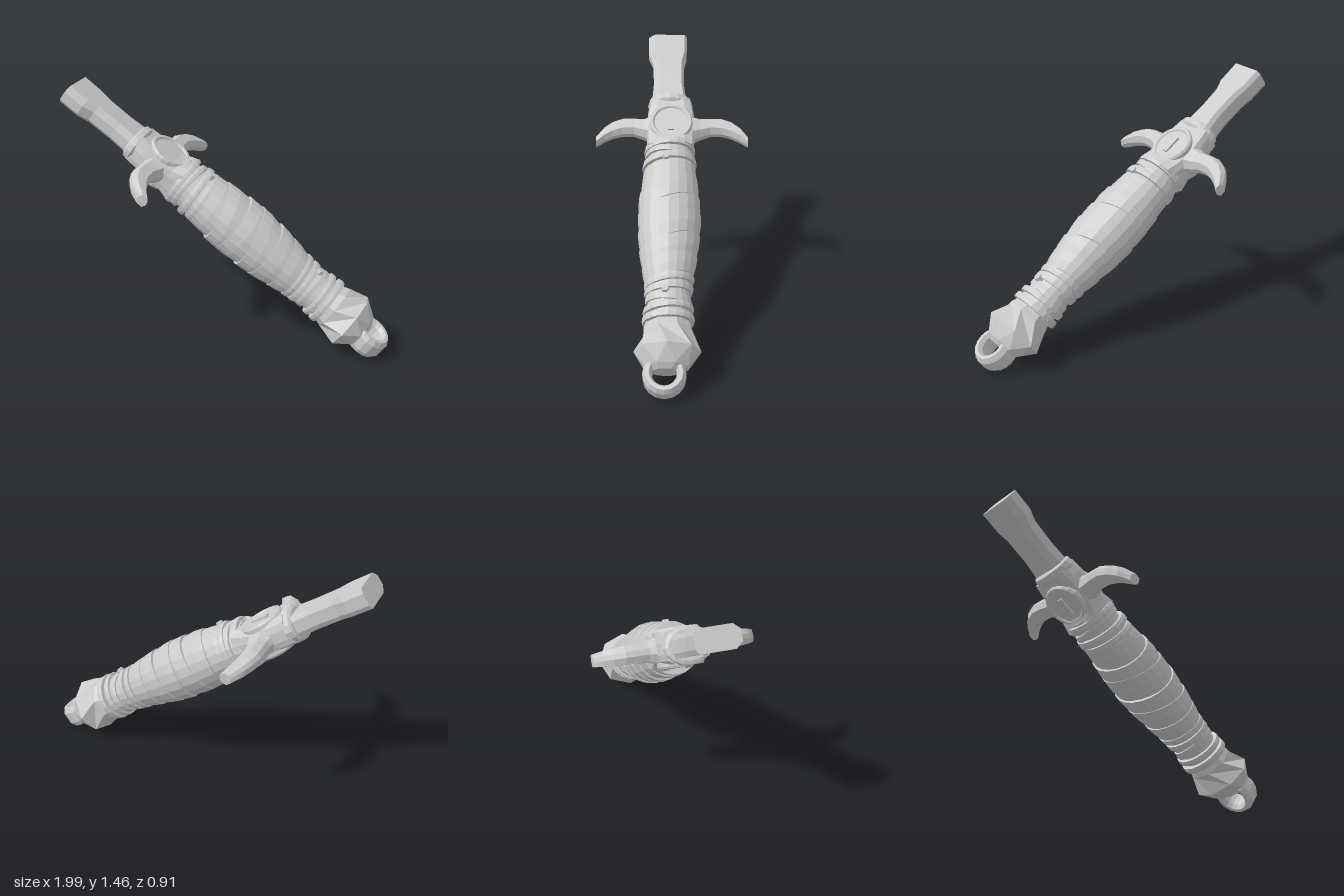
import * as THREE from 'three';

const mat = new THREE.MeshStandardMaterial({ color: 0xcccccc, flatShading: true });

// Skin closed cross-sections (counter-clockwise about the travel direction), optionally capped.
function loft(sections, caps = true) {
  const pos = [];
  const tri = (a, b, c) => pos.push(...a, ...b, ...c);
  const n = sections[0].length;
  for (let i = 0; i < sections.length - 1; i++) {
    for (let j = 0; j < n; j++) {
      const k = (j + 1) % n, s = sections[i], t = sections[i + 1];
      tri(s[j], s[k], t[j]);
      tri(s[k], t[k], t[j]);
    }
  }
  if (caps) {
    const first = sections[0], last = sections[sections.length - 1];
    for (let j = 1; j < n - 1; j++) {
      tri(first[0], first[j + 1], first[j]);
      tri(last[0], last[j], last[j + 1]);
    }
  }
  const g = new THREE.BufferGeometry();
  g.setAttribute('position', new THREE.Float32BufferAttribute(pos, 3));
  g.computeVertexNormals();
  return g;
}

// Oval section across the long (x) axis.
function oval(x, ry, rz, cz = 0, sides = 16, turn = 0) {
  return Array.from({ length: sides }, (_, i) => {
    const a = (i + turn) / sides * Math.PI * 2;
    return [x, ry * Math.cos(a), cz + rz * Math.sin(a)];
  });
}

// Grip radius along its length.
const gripProfile = [[0.8, 0.125], [0.92, 0.135], [1.02, 0.145], [1.2, 0.166], [1.36, 0.164],
  [1.52, 0.15], [1.66, 0.132], [1.76, 0.118], [1.96, 0.118]];
function gripRadius(x) {
  for (let i = 1; i < gripProfile.length; i++) {
    const [x0, r0] = gripProfile[i - 1], [x1, r1] = gripProfile[i];
    if (x <= x1) return THREE.MathUtils.mapLinear(Math.max(x, x0), x0, x1, r0, r1);
  }
  return 0.118;
}

// Slanted strap around the grip; lift is the height of its two edges.
function strap(x, width, lift0, lift1, tilt, phase) {
  const row = (f, lift) => Array.from({ length: 20 }, (_, i) => {
    const a = i / 20 * Math.PI * 2;
    const u = x + f * width / 2 + tilt * Math.cos(a - phase);
    const r = gripRadius(u) + lift;
    return [u, r * Math.cos(a), 0.012 + r * Math.sin(a)];
  });
  return loft([row(-1, -0.012), row(-0.94, lift0), row(0, (lift0 + lift1) / 2 + 0.003),
    row(0.94, lift1), row(1, -0.012)], false);
}

export function createModel() {
  const model = new THREE.Group();
  model.name = 'dagger';
  // The x axis of this group runs from the blade end to the pommel ring.
  const body = new THREE.Group();
  body.name = 'slantedDagger';
  body.rotation.z = -0.614;
  body.position.set(-0.965, 1.4, 0);
  model.add(body);
  const add = (name, geometry, x = 0, y = 0, z = 0, parent = body) => {
    const m = new THREE.Mesh(geometry, mat);
    m.name = name;
    m.position.set(x, y, z);
    parent.add(m);
    return m;
  };

  // Blade stub: bevelled bar with a waist behind the broad end
  const bladeSection = (x, zp, zn) => [
    [x, 0.063, zn + 0.015], [x, 0.063, zp - 0.038], [x, 0.03, zp], [x, -0.03, zp],
    [x, -0.063, zp - 0.038], [x, -0.063, zn + 0.015], [x, -0.035, zn], [x, 0.035, zn]];
  add('blade', loft([[0, 0.152, -0.09], [0.13, 0.15, -0.088], [0.2, 0.122, -0.072],
    [0.36, 0.115, -0.07], [0.5, 0.125, -0.088]].map(s => bladeSection(...s))));

  // Collar where the blade enters the guard
  add('collar', loft([[0.465, 0.085, 0.115], [0.475, 0.105, 0.13], [0.51, 0.108, 0.138],
    [0.525, 0.092, 0.128]].map(([x, a, b]) => oval(x, a, b, 0.012))));

  // Guard block with rounded-rectangle sections
  const guardSection = (x, h, w) => [[1, 0.6], [0.75, 0.92], [0.35, 1], [-0.35, 1], [-0.75, 0.92],
    [-1, 0.6], [-1, -0.6], [-0.75, -0.92], [-0.35, -1], [0.35, -1], [0.75, -0.92], [1, -0.6]]
    .map(([a, b]) => [x, a * h, 0.008 + b * w]);
  add('guardBlock', loft([[0.5, 0.09, 0.125], [0.57, 0.088, 0.138], [0.68, 0.088, 0.148],
    [0.77, 0.1, 0.142], [0.84, 0.13, 0.14]].map(s => guardSection(...s))));

  // Curved guard arms: [z, centre x, half width, half thickness]
  const armPath = [[0.12, 0.68, 0.085, 0.07], [0.17, 0.675, 0.066, 0.058], [0.23, 0.662, 0.056, 0.052],
    [0.3, 0.662, 0.056, 0.05], [0.36, 0.682, 0.054, 0.046], [0.41, 0.715, 0.047, 0.042],
    [0.457, 0.765, 0.03, 0.034]];
  for (const side of [1, -1]) {
    const sections = armPath.map(([z, x, w, h]) => {
      const s = [[1, 0.3], [0.55, 1], [-0.55, 1], [-1, 0.3], [-1, -0.3], [-0.55, -1], [0.55, -1], [1, -0.3]]
        .map(([a, b]) => [x + a * w, b * h, side * z]);
      return side > 0 ? s : s.reverse();
    });
    add(side > 0 ? 'leftGuardArm' : 'rightGuardArm', loft(sections));
  }

  // Round medallion on both faces of the guard, with a recessed centre and a raised bar
  const rim = [[0.13, 0.05], [0.13, 0.094], [0.122, 0.106], [0.108, 0.106], [0.1, 0.096], [0, 0.096]]
    .map(p => new THREE.Vector2(...p));
  for (const face of [0, 1]) {
    const medallion = new THREE.Group();
    medallion.name = face ? 'lowerMedallion' : 'upperMedallion';
    medallion.position.set(0.68, 0, 0.006);
    medallion.rotation.x = face * Math.PI;
    body.add(medallion);
    add('medallionRim', new THREE.LatheGeometry(rim, 20), 0, 0, 0, medallion);
    add('medallionBar', new THREE.BoxGeometry(0.11, 0.016, 0.034), 0.005, 0.1, 0, medallion);
  }

  // Grip core
  add('gripCore', loft(gripProfile.map(([x, r]) => oval(x, r, r, 0.012, 20))));

  // Cord rings at both ends of the grip: [x, width, lift, tilt]
  [[0.835, 0.045, 0.022, 0.008], [0.885, 0.04, 0.014, -0.012], [0.935, 0.045, 0.022, 0.015],
    [0.99, 0.05, 0.012, 0.02], [1.71, 0.04, 0.014, 0.02], [1.76, 0.04, 0.016, 0.012],
    [1.82, 0.05, 0.01, -0.01], [1.875, 0.035, 0.022, 0.01], [1.93, 0.04, 0.026, 0.005]]
    .forEach(([x, w, lift, tilt]) => add('cordRing', strap(x, w, lift, lift, tilt, Math.PI / 2)));

  // Overlapping slanted wraps: [x, width, lift at each edge, tilt, phase]
  [[1.06, 0.14, 0.014, 0.004, 0.04, 1.5], [1.17, 0.15, 0.018, 0.006, 0.06, 1.9],
    [1.29, 0.16, 0.016, 0.008, 0.05, 1.2], [1.41, 0.15, 0.02, 0.01, 0.06, 1.8],
    [1.53, 0.15, 0.02, 0.008, 0.05, 1.3], [1.64, 0.12, 0.016, 0.006, 0.035, 1.7]]
    .forEach(w => add('gripWrap', strap(...w)));

  // Hexagonal studs on the wraps
  for (const [x, y] of [[0.955, 0.155], [1.79, 0.132]]) {
    add('stud', new THREE.CylinderGeometry(0.02, 0.026, 0.03, 6), x, y, 0.03);
  }

  // Faceted pommel; half-step turns give triangular facets
  add('pommel', loft([oval(1.94, 0.12, 0.125, 0.015, 8, 0.5), oval(1.99, 0.14, 0.14, 0.015, 8, 0.5),
    oval(2.11, 0.168, 0.186, 0.015, 8), oval(2.2, 0.1, 0.13, 0.02, 8, 0.5),
    oval(2.225, 0.06, 0.09, 0.025, 8, 0.5)]));

  // Bevelled ring at the end of the pommel
  const ringProfile = [[0.068, 0.04], [0.068, -0.04], [0.082, -0.066], [0.102, -0.066], [0.119, -0.035],
    [0.119, 0.035], [0.102, 0.066], [0.082, 0.066], [0.068, 0.04]].map(p => new THREE.Vector2(...p));
  add('pommelRing', new THREE.LatheGeometry(ringProfile, 16), 2.245, 0, 0.03);

  return model;
}
